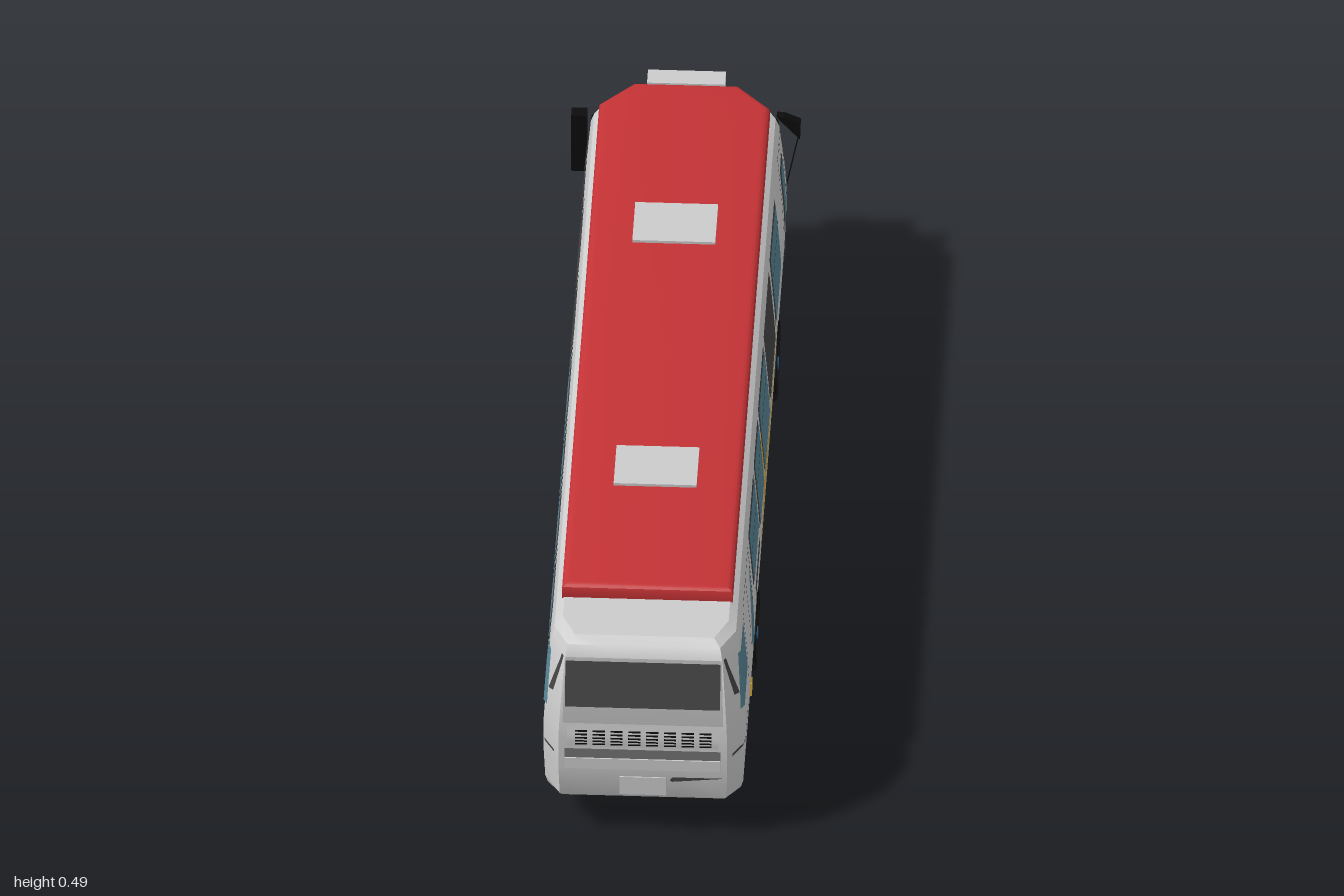
import * as THREE from 'three';
import { toCreasedNormals } from 'three/addons/utils/BufferGeometryUtils.js';

const GREY = 0xcccccc, GLASS = 0x568494, DARK = 0x444444, BLACK = 0x0c0c0c, RED = 0xc43235, GOLD = 0xcfa43c, BLUE = 0x1f6fb5;

const mat = (color, side = THREE.FrontSide) => new THREE.MeshStandardMaterial({ color, side });

// Body profile: height, half width, rear z, front z
const PROFILE = [
  [0.05, 0.198, 0.985, -0.955], [0.1, 0.203, 0.988, -0.965], [0.17, 0.206, 0.993, -0.985],
  [0.25, 0.206, 0.998, -0.99], [0.3, 0.203, 0.99, -0.985], [0.42, 0.193, 0.958, -0.955],
  [0.446, 0.186, 0.94, -0.945], [0.457, 0.17, 0.92, -0.925],
];
function profileAt(y) {
  let i = 0;
  while (i < PROFILE.length - 2 && y > PROFILE[i + 1][0]) i++;
  const a = PROFILE[i], b = PROFILE[i + 1];
  const k = THREE.MathUtils.clamp((y - a[0]) / (b[0] - a[0]), 0, 1);
  return [1, 2, 3].map((c) => a[c] + (b[c] - a[c]) * k);
}

// Points on the body skin, lifted by e
const rearZ = (t, zr) => zr - 0.06 * Math.max(0, (Math.abs(t) - 0.84) / 0.16);
const frontZ = (t, zf) => zf + 0.075 * Math.abs(t) ** 5;
const onRear = (e) => (x, y) => {
  const [hw, zr] = profileAt(y);
  return [x, y, rearZ(x / hw, zr) + e];
};
const onFront = (e) => (x, y) => {
  const [hw, , zf] = profileAt(y);
  return [x, y, frontZ(Math.min(1, Math.abs(x / hw)), zf) - e];
};
const onSide = (s, e) => (z, y) => {
  const [hw, zr, zf] = profileAt(y);
  let t = 1;
  if (z > zr - 0.06) t = 1 - 0.16 * (z - zr + 0.06) / 0.06;
  else if (z < zf + 0.075) t = Math.max(0, (z - zf) / 0.075) ** 0.2;
  return [s * (hw * t + e), y, z];
};

// Surface through rows of points
function grid(rows) {
  const n = rows[0].length, index = [];
  for (let j = 0; j < rows.length - 1; j++) {
    for (let i = 0; i < n - 1; i++) {
      const a = j * n + i, d = a + n;
      index.push(a, a + 1, d, a + 1, d + 1, d);
    }
  }
  const g = new THREE.BufferGeometry();
  g.setAttribute('position', new THREE.Float32BufferAttribute(rows.flat(2), 3));
  g.setIndex(index);
  g.computeVertexNormals();
  return g;
}

// Horizontal half outline from rear centre round +x to front centre
function halfOutline([y, hw, zr, zf]) {
  const pts = [];
  for (const t of [0, 0.4, 0.84, 1]) pts.push([t * hw, y, rearZ(t, zr)]);
  for (const z of [0.78, 0, -0.7]) pts.push([hw, y, z]);
  for (let i = 12; i >= 0; i--) pts.push([i / 12 * hw, y, frontZ(i / 12, zf)]);
  // the belly sweeps up behind the rear axle
  return pts.map(([x, h, z]) => [x, Math.max(h, 0.05 + (z - 0.78) * 0.22), z]);
}
const flip = ([x, y, z]) => [-x, y, z];

export function createModel() {
  const bus = new THREE.Group();
  const add = (name, geo, color, side, parent = bus) => {
    const m = new THREE.Mesh(geo, mat(color, side));
    m.name = name;
    parent.add(m);
    return m;
  };
  const box = (name, color, w, h, d, x, y, z) => {
    const m = add(name, new THREE.BoxGeometry(w, h, d), color);
    m.position.set(x, y, z);
    return m;
  };
  // Four-cornered panel laid on the skin: bottom a, bottom b, top b, top a
  const patch = (name, color, [p, q, r, s], skin, nu = 4, nv = 6) => {
    const rows = [];
    for (let j = 0; j <= nv; j++) {
      const row = [], v = j / nv;
      for (let i = 0; i <= nu; i++) {
        const u = i / nu;
        const at = (c) => (p[c] * (1 - u) + q[c] * u) * (1 - v) + (s[c] * (1 - u) + r[c] * u) * v;
        row.push(skin(at(0), at(1)));
      }
      rows.push(row);
    }
    return add(name, grid(rows), color, THREE.DoubleSide);
  };
  const rect = (a, b, y0, y1) => [[a, y0], [b, y0], [b, y1], [a, y1]];
  const seam = (z0, z1, y0, y1, s) => patch('panelSeam', DARK, rect(z0, z1, y0, y1), onSide(s, 0.0015), 10);

  // Body shell with roof deck and belly
  const halves = PROFILE.map(halfOutline);
  const shell = grid(halves.map((h) => [...h, ...h.slice(0, -1).reverse().map(flip)]));
  add('bodyShell', toCreasedNormals(shell, 0.5), GREY);
  add('roofDeck', grid(halves.at(-1).map((p) => [flip(p), p])), GREY);
  add('underside', grid(halves[0].map((p) => [p, flip(p)])), BLACK);

  // Red roof with tapered front corners
  const plan = new THREE.Shape([[-0.16, -0.78], [0.16, -0.78], [0.16, 0.85], [0.1, 0.915], [-0.1, 0.915], [-0.16, 0.85]]
    .map(([x, y]) => new THREE.Vector2(x, y)));
  const roof = new THREE.ExtrudeGeometry(plan, { depth: 0.03, bevelThickness: 0.012, bevelSize: 0.015, bevelSegments: 3 });
  roof.rotateX(-Math.PI / 2);
  add('redRoof', toCreasedNormals(roof, 0.5), RED).position.y = 0.445;
  for (const z of [0.385, -0.445]) box('roofHatch', GREY, 0.17, 0.014, 0.13, 0, 0.486, z);
  box('destinationSign', GREY, 0.16, 0.035, 0.045, 0, 0.472, -0.945);

  // Side windows: z from, z to, sill height
  const windows = [[0.51, 0.31, 0.29], [0.27, 0.12, 0.26], [0.08, -0.13, 0.255], [-0.17, -0.38, 0.255], [-0.43, -0.63, 0.255]];
  for (const s of [1, -1]) {
    const list = s > 0 ? windows : [[0.76, 0.56, 0.29], ...windows];
    for (const [a, b, sill] of list) {
      const tinted = s > 0 ? a === -0.17 : a < 0;
      patch('windowFrame', DARK, rect(a + 0.006, b - 0.006, sill - 0.005, 0.417), onSide(s, 0.001));
      patch('sideWindow', tinted ? DARK : GLASS, rect(a, b, sill, 0.412), onSide(s, 0.003));
      patch('windowRail', DARK, rect(a, b, 0.365, 0.369), onSide(s, 0.0045));
    }
    patch('rearQuarterWindow', GLASS, [[0.945, 0.295], [0.8, 0.3], [0.8, 0.412], [0.91, 0.412]], onSide(s, 0.003), 10);
    // Long seam and lower locker panels
    seam(0.53, -0.74, 0.164, 0.168, s);
    seam(0.98, 0.8, 0.2, 0.206, s);
    seam(-0.16, -0.4, 0.105, 0.108, s);
    for (const z of [-0.16, -0.4, 0.26]) seam(z, z - 0.003, 0.052, z > 0 ? 0.164 : 0.108, s);
  }
  patch('driverWindow', DARK, [[-0.7, 0.28], [-0.89, 0.26], [-0.875, 0.412], [-0.7, 0.412]], onSide(-1, 0.003));
  patch('sideStripe', DARK, [[-0.92, 0.15], [-0.55, 0.165], [-0.55, 0.18], [-0.92, 0.18]], onSide(-1, 0.003));
  patch('sideVent', DARK, [[0.49, 0.235], [0.32, 0.25], [0.32, 0.27], [0.49, 0.265]], onSide(1, 0.003));

  // Golden swoosh on the door side
  patch('goldSwoosh', GOLD, [[0.28, 0.19], [-0.05, 0.195], [-0.5, 0.235], [0.13, 0.24]], onSide(1, 0.002), 10);
  patch('goldPillar', GOLD, [[0.115, 0.23], [0.085, 0.23], [0.09, 0.36], [0.11, 0.36]], onSide(1, 0.002));

  // Doors
  for (const [a, b] of [[0.77, 0.66], [0.66, 0.555], [-0.77, -0.83], [-0.83, -0.885]]) {
    for (const z of [a, b]) seam(z + 0.002, z - 0.002, 0.06, 0.418, 1);
    seam(a, b, 0.415, 0.418, 1);
    seam(a, b, 0.06, 0.063, 1);
  }
  patch('rearDoorGlass', GLASS, [[0.6, 0.2], [0.575, 0.2], [0.575, 0.4], [0.66, 0.25]], onSide(1, 0.003));
  patch('frontDoorGlassFrame', DARK, rect(-0.785, -0.855, 0.21, 0.375), onSide(1, 0.002));
  patch('frontDoorGlass', GLASS, [[-0.795, 0.215], [-0.845, 0.29], [-0.845, 0.37], [-0.795, 0.37]], onSide(1, 0.004));
  patch('frontDoorLowerGlass', DARK, rect(-0.79, -0.85, 0.13, 0.18), onSide(1, 0.003));
  for (const z of [0.67, 0.65]) box('doorHandle', GOLD, 0.006, 0.03, 0.005, 0.206, 0.14, z);

  // Windscreen end
  patch('windscreenFrame', BLACK, [[-0.204, 0.243], [0.204, 0.243], [0.191, 0.437], [-0.191, 0.437]], onFront(0.003), 36);
  patch('windscreen', GLASS, [[-0.202, 0.25], [0.202, 0.25], [0.19, 0.43], [-0.19, 0.43]], onFront(0.006), 36);
  patch('windscreenDivider', BLACK, rect(-0.002, 0.002, 0.25, 0.43), onFront(0.008));
  patch('goldFrontBand', GOLD, [[-0.203, 0.19], [0.203, 0.19], [0.204, 0.243], [-0.204, 0.243]], onFront(0.004), 36);
  patch('frontBumper', BLACK, rect(-0.197, 0.197, 0.05, 0.1), onFront(0.006), 36);
  for (const s of [1, -1]) {
    patch('headlamp', DARK, [[s * 0.185, 0.115], [s * 0.08, 0.125], [s * 0.04, 0.165], [s * 0.195, 0.18]], onFront(0.005), 14);
    patch('wiper', BLACK, [[s * 0.02, 0.25], [s * 0.026, 0.25], [s * 0.072, 0.37], [s * 0.068, 0.37]], onFront(0.009));
    patch('wiperBlade', BLACK, [[s * 0.035, 0.27], [s * 0.04, 0.27], [s * 0.04, 0.4], [s * 0.036, 0.4]], onFront(0.009));
  }

  // Mirrors
  box('largeMirror', BLACK, 0.032, 0.14, 0.03, -0.219, 0.338, -0.925);
  const wing = new THREE.Shape([[0.185, 0.4], [0.233, 0.345], [0.234, 0.385], [0.2, 0.4]].map((p) => new THREE.Vector2(...p)));
  add('smallMirror', new THREE.ExtrudeGeometry(wing, { depth: 0.02, bevelEnabled: false }), BLACK).position.z = -0.955;
  const rod = new THREE.LineCurve3(new THREE.Vector3(0.232, 0.36, -0.945), new THREE.Vector3(0.2, 0.21, -0.92));
  add('mirrorRod', new THREE.TubeGeometry(rod, 1, 0.0015, 6), BLACK);

  // Engine end: window, grille, ledge and plate
  patch('rearWindowFrame', 0xb0b0b0, [[-0.165, 0.285], [0.165, 0.285], [0.16, 0.425], [-0.16, 0.425]], onRear(0.002));
  patch('rearWindow', DARK, rect(-0.16, 0.158, 0.322, 0.42), onRear(0.004));
  patch('grillePanel', GREY, rect(-0.155, 0.155, 0.23, 0.28), onRear(0.003));
  for (let c = 0; c < 8; c++) {
    for (let r = 0; r < 5; r++) {
      const x = -0.139 + c * 0.0365, y = 0.236 + r * 0.0078;
      patch('grilleSlot', BLACK, rect(x, x + 0.025, y, y + 0.004), onRear(0.005), 1, 1);
    }
  }
  patch('rearLedgeShadow', 0x777777, rect(-0.16, 0.16, 0.2, 0.224), onRear(0.003));
  box('rearLedge', GREY, 0.32, 0.026, 0.01, 0, 0.185, 0.993);
  box('plateHolder', GREY, 0.096, 0.044, 0.01, 0, 0.128, 0.989);
  patch('rearCrease', DARK, [[0.055, 0.144], [0.06, 0.141], [0.17, 0.153], [0.06, 0.153]], onRear(0.003));
  for (const s of [1, -1]) {
    patch('rearPillarTrim', DARK, [[s * 0.186, 0.335], [s * 0.196, 0.33], [s * 0.168, 0.425], [s * 0.164, 0.425]], onRear(0.003));
  }

  // Wheels with blue hubs and dark arches
  for (const z of [0.4, -0.52]) {
    for (const s of [1, -1]) {
      const wheel = new THREE.Group();
      wheel.name = 'wheel';
      wheel.position.set(s * 0.155, 0.083, z);
      wheel.rotation.z = -s * Math.PI / 2;
      const tyre = [[0.03, -0.05], [0.07, -0.05], [0.083, -0.04], [0.083, 0.042], [0.073, 0.053], [0.052, 0.053], [0.046, 0.046]];
      const geo = new THREE.LatheGeometry(tyre.map((p) => new THREE.Vector2(...p)), 20);
      add('tyre', toCreasedNormals(geo, 0.5), 0x1a1a1a, THREE.DoubleSide, wheel);
      add('hubDisc', new THREE.CylinderGeometry(0.05, 0.05, 0.09, 16), BLUE, undefined, wheel);
      add('hubCap', new THREE.CylinderGeometry(0.014, 0.02, 0.108, 10), 0x174f80, undefined, wheel);
      bus.add(wheel);
      const arch = add('wheelArch', new THREE.TorusGeometry(0.09, 0.006, 6, 20, Math.PI), BLACK);
      arch.rotation.y = Math.PI / 2;
      arch.position.set(s * 0.203, 0.075, z);
    }
  }
  return bus;
}
